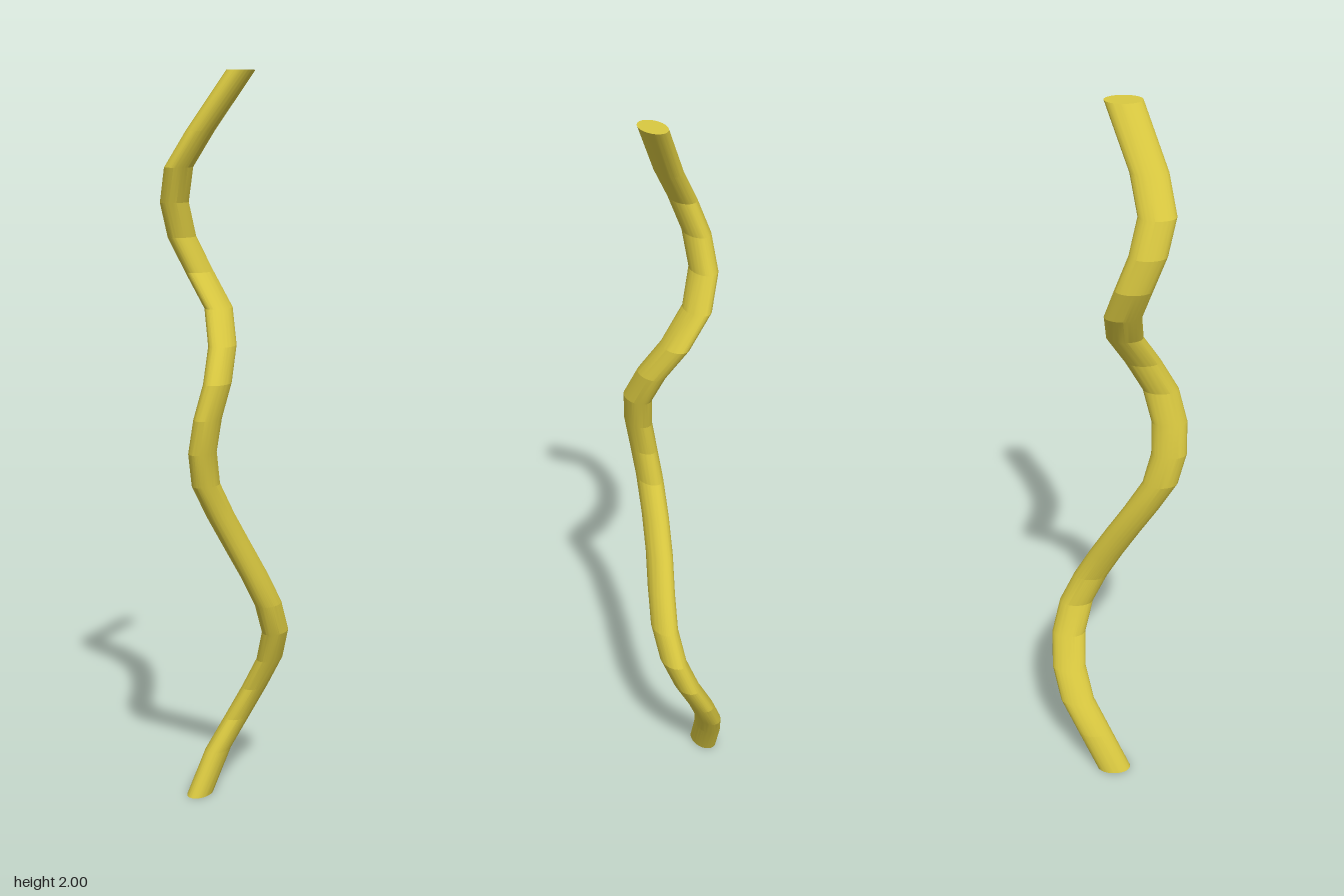
import * as THREE from 'three';
import { toCreasedNormals } from 'three/addons/utils/BufferGeometryUtils.js';

// Centre line of the stalk: [x, y, z] from foot to tip
const SPINE = [
  [-0.08, 0, -0.01], [-0.055, 0.12, -0.067], [-0.02, 0.211, -0.116], [0.023, 0.302, -0.14],
  [0.07, 0.393, -0.14], [0.1, 0.484, -0.117], [0.101, 0.575, -0.075], [0.081, 0.666, -0.03],
  [0.056, 0.757, 0.017], [0.035, 0.848, 0.068], [0.02, 0.939, 0.117], [0.024, 1.03, 0.14],
  [0.04, 1.121, 0.14], [0.055, 1.212, 0.116], [0.041, 1.303, 0.068], [0.0, 1.394, 0.02],
  [-0.063, 1.485, 0.014], [-0.1, 1.576, 0.04], [-0.101, 1.667, 0.074], [-0.073, 1.758, 0.096],
  [-0.02, 1.849, 0.077], [0.064, 2, 0.016],
];
const RADIUS_X = 0.032;
const RADIUS_Z = 0.048;

export function createModel() {
  const group = new THREE.Group();
  group.name = 'wavyStalk';

  // Capped cylinder with one ring per spine point; each ring becomes a level ellipse
  const last = SPINE.length - 1;
  const geometry = new THREE.CylinderGeometry(1, 1, last, 48, last);
  const pos = geometry.attributes.position;
  for (let i = 0; i < pos.count; i++) {
    const [x, y, z] = SPINE[Math.round(pos.getY(i) + last / 2)];
    pos.setXYZ(i, x + pos.getX(i) * RADIUS_X, y, z + pos.getZ(i) * RADIUS_Z);
  }

  // Round sideways, creased at the stronger bends
  const stalk = new THREE.Mesh(
    toCreasedNormals(geometry, 0.21),
    new THREE.MeshStandardMaterial({ color: 0xd9c840 }),
  );
  stalk.name = 'stalk';
  group.add(stalk);
  return group;
}
